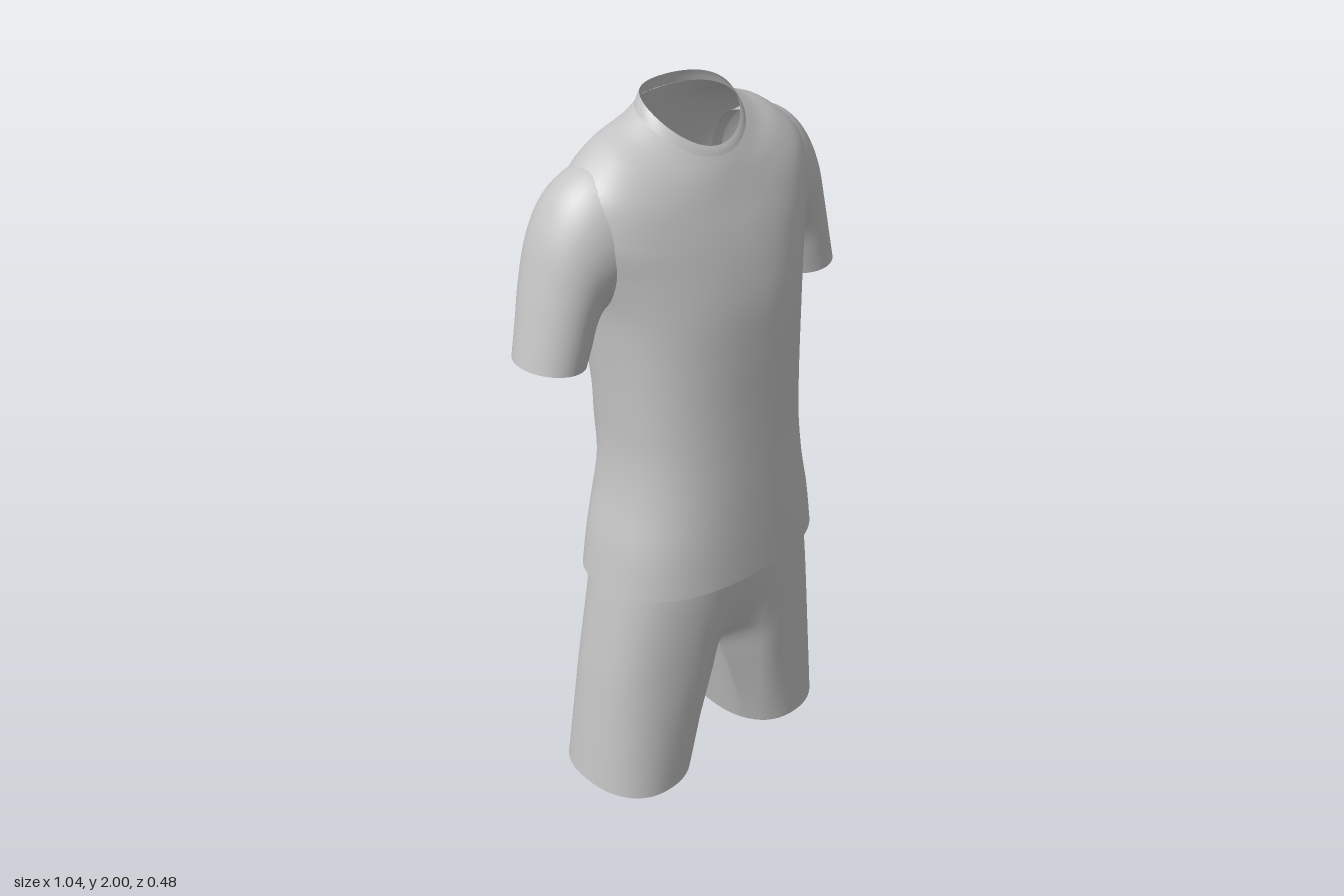
import * as THREE from 'three';

const V = (x, y, z) => new THREE.Vector3(x, y, z);
const cloth = new THREE.MeshStandardMaterial({ color: 0xc4c4c4, side: THREE.DoubleSide });
cloth.name = 'grey cloth';

// Signed power, used for rounded-box cross-sections
const pow = (v, e) => Math.sign(v) * Math.pow(Math.abs(v), e);

// Open tube through closed sections listed bottom to top, smoothed along each column;
// shape adjusts a point, skip(row, column) leaves a cell open
function loft(name, sections, rows, { side = 1, shape = () => {}, skip = () => false } = {}) {
  const n = sections[0].length, pos = [], index = [];
  const columns = sections[0].map((_, j) =>
    new THREE.CatmullRomCurve3(sections.map((s) => s[j])));
  for (let i = 0; i <= rows; i++) {
    for (let j = 0; j < n; j++) {
      const p = columns[j].getPoint(i / rows);
      shape(p);
      pos.push(p.x * side, p.y, p.z);
      if (i === rows || skip(i, j)) continue;
      const a = i * n + j, b = i * n + (j + 1) % n, c = a + n, d = b + n;
      if (side > 0) index.push(a, b, d, a, d, c);
      else index.push(a, d, b, a, c, d);
    }
  }
  const g = new THREE.BufferGeometry();
  g.setAttribute('position', new THREE.Float32BufferAttribute(pos, 3));
  g.setIndex(index);
  g.computeVertexNormals();
  const mesh = new THREE.Mesh(g, cloth);
  mesh.name = name;
  return mesh;
}

// Torso ring: half width, back and front height, back and front depth,
// lift at the sides, corner exponent, flatness of the back
function torsoRing([hw, yB, yF, zB, zF, lift = 0, e = 0.84, flat = 0.85]) {
  return Array.from({ length: 80 }, (_, j) => {
    const a = (j / 80) * Math.PI * 2, cos = Math.cos(a);
    const s = pow(Math.sin(a), e), c = pow(cos, cos < 0 ? e * flat : e);
    const k = (c + 1) / 2;
    return V(hw * s, yB + (yF - yB) * k + lift * s * s, zB + (zF - zB) * k);
  });
}

// Soft folds across the back of the shirt
function folds(p) {
  if (p.z >= 0) return;
  const bell = (v, m, w) => Math.exp(-(((v - m) / w) ** 2));
  const ax = Math.abs(p.x), back = Math.min(1, -p.z / 0.15);
  p.z += back * 0.009 * Math.sin(26 * p.y - 24 * ax) * bell(p.y, 1.12, 0.22) * bell(ax, 0.17, 0.1);
  p.z += back * 0.012 * bell(ax, 0, 0.07) * bell(p.y, 1.5, 0.3);
}

// Sleeve ring: outer edge, inner edge, back and front depth
function sleeveRing([ox, oy, ix, iy, zB, zF]) {
  return Array.from({ length: 48 }, (_, j) => {
    const a = (j / 48) * Math.PI * 2, s = Math.sin(a), c = Math.cos(a);
    return V((ox + ix) / 2 + (ox - ix) / 2 * s, (oy + iy) / 2 + (oy - iy) / 2 * s,
      (zB + zF) / 2 + (zF - zB) / 2 * c);
  });
}

// One half of the shorts: columns 0..OUTER run front to back round the outside,
// the remaining ones return along the inseam
const OUTER = 40, INNER = 20;
function halfRing(outside, inside) {
  return Array.from({ length: OUTER + INNER }, (_, j) =>
    j <= OUTER ? outside(j / OUTER) : inside((j - OUTER) / INNER));
}

// Hip ring: height, half width, back and front depth, pinch at the centre, corner exponent
function hipRing([y, hw, zB, zF, pinch, e]) {
  const point = (u) => {
    const x = u === 1 ? 0 : hw * pow(Math.sin(u * Math.PI), e);
    const z = (zB + zF) / 2 + (zF - zB) / 2 * pow(Math.cos(u * Math.PI), e);
    return V(x, y, z * (1 - pinch * Math.exp(-((x / 0.085) ** 2))));
  };
  return halfRing(point, (u) => point(1).lerp(point(0), u));
}

// Leg hem
function hemRing() {
  const point = (a) => V(0.248 + 0.162 * pow(Math.sin(a), 0.88),
    0.002 + 0.014 * Math.sin(a) ** 2, -0.02 + 0.182 * pow(Math.cos(a), 0.88));
  return halfRing((u) => point(-0.9 + u * (Math.PI + 1.8)),
    (u) => point(Math.PI + 0.9 + u * (Math.PI - 1.8)));
}

export function createModel() {
  const model = new THREE.Group();
  model.name = 'sportsOutfit';

  // Shirt
  const shirt = new THREE.Group();
  shirt.name = 'shirt';
  const body = [
    [0.342, 0.68, 0.7, -0.222, 0.245],
    [0.322, 0.82, 0.82, -0.215, 0.242],
    [0.293, 0.95, 0.95, -0.207, 0.237],
    [0.279, 1.08, 1.08, -0.207, 0.231],
    [0.282, 1.22, 1.22, -0.216, 0.225],
    [0.29, 1.36, 1.36, -0.23, 0.22],
    [0.304, 1.5, 1.5, -0.24, 0.21],
    [0.332, 1.62, 1.61, -0.243, 0.188],
    [0.355, 1.73, 1.69, -0.227, 0.165, 0.01],
    [0.338, 1.82, 1.75, -0.2, 0.143, 0.045, 0.87],
    [0.265, 1.888, 1.803, -0.175, 0.124, 0.05, 0.93],
    [0.19, 1.938, 1.842, -0.154, 0.109, 0.038, 1, 1],
    [0.147, 1.967, 1.865, -0.141, 0.098, 0.035, 1, 1],
  ];
  shirt.add(loft('shirtBody', body.map(torsoRing), 72, { shape: folds }));

  // Collar band standing on the neckline
  const collar = [
    [0.147, 1.967, 1.865, -0.141, 0.098, 0.035, 1, 1],
    [0.139, 1.985, 1.878, -0.137, 0.093, 0.034, 1, 1],
    [0.131, 2, 1.888, -0.132, 0.087, 0.033, 1, 1],
  ];
  shirt.add(loft('collar', collar.map(torsoRing), 6));

  // Sleeves, cuff to shoulder, ending inside the shirt body
  const sleeve = [
    [0.518, 1.405, 0.346, 1.385, -0.165, 0.04],
    [0.496, 1.5, 0.328, 1.43, -0.174, 0.043],
    [0.471, 1.605, 0.312, 1.475, -0.186, 0.047],
    [0.432, 1.735, 0.295, 1.495, -0.194, 0.056],
    [0.375, 1.825, 0.278, 1.5, -0.2, 0.069],
    [0.3, 1.873, 0.255, 1.51, -0.196, 0.08],
    [0.2, 1.88, 0.21, 1.54, -0.17, 0.075],
  ];
  for (const [name, side] of [['leftSleeve', 1], ['rightSleeve', -1]]) {
    shirt.add(loft(name, sleeve.map(sleeveRing), 36, { side }));
  }
  model.add(shirt);

  // Shorts, each half running from leg hem to waist
  const shorts = new THREE.Group();
  shorts.name = 'shorts';
  const hem = hemRing();
  const hips = [
    [0.38, 0.375, -0.204, 0.193, 0.48, 0.74],
    [0.47, 0.364, -0.202, 0.2, 0.24, 0.77],
    [0.58, 0.349, -0.2, 0.208, 0.09, 0.8],
    [0.7, 0.331, -0.199, 0.214, 0.03, 0.83],
    [0.84, 0.3, -0.19, 0.21, 0, 0.84],
    [0.95, 0.268, -0.185, 0.205, 0, 0.84],
  ].map(hipRing);
  const legs = [0, 0.25, 0.5, 0.75].map((t) => hem.map((p, j) => p.clone().lerp(hips[0][j], t)));
  const STEP = 6, crotchRow = legs.length * STEP;
  const sections = [...legs, ...hips];
  for (const [name, side] of [['leftShortsLeg', 1], ['rightShortsLeg', -1]]) {
    shorts.add(loft(name, sections, (sections.length - 1) * STEP, {
      side,
      shape: (p) => { p.x = Math.max(0, p.x); },
      skip: (i, j) => i >= crotchRow && j >= OUTER,
    }));
  }
  model.add(shorts);
  return model;
}
